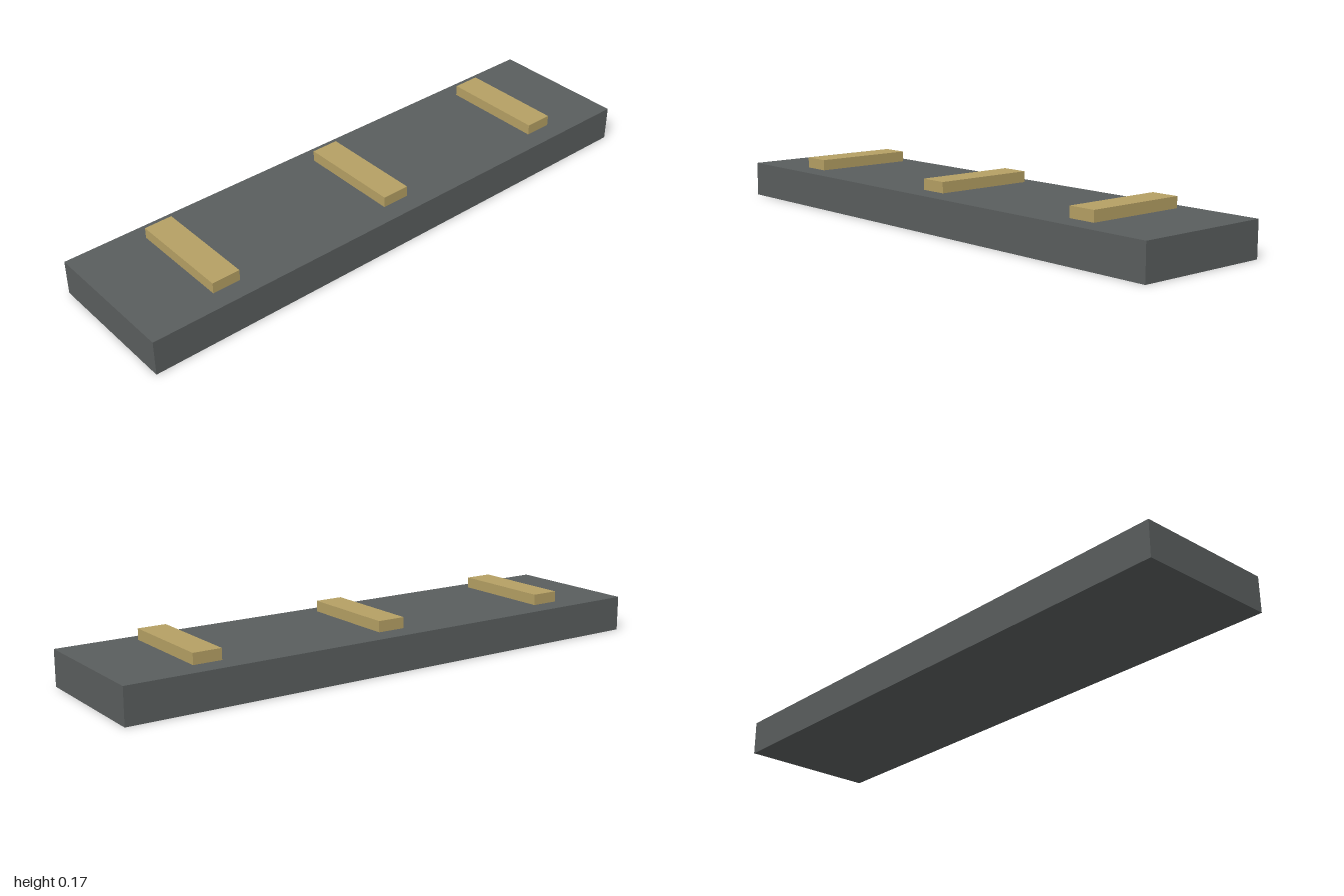
import * as THREE from 'three';

export function createModel() {
  const model = new THREE.Group();
  const slabGrey = new THREE.MeshStandardMaterial({ color: 0x5a5e5e });
  slabGrey.name = 'slabGrey';
  const stripTan = new THREE.MeshStandardMaterial({ color: 0xb5a064 });
  stripTan.name = 'stripTan';

  // Adds a box standing on the height `bottom`
  function addBox(name, [w, h, d], x, bottom, material) {
    const mesh = new THREE.Mesh(new THREE.BoxGeometry(w, h, d), material);
    mesh.name = name;
    mesh.position.set(x, bottom + h / 2, 0);
    model.add(mesh);
  }

  // Long base slab
  addBox('slab', [2, 0.124, 0.5], 0, 0, slabGrey);

  // Three cross strips, held just above the slab
  ['rightStrip', 'middleStrip', 'leftStrip'].forEach((name, i) => {
    addBox(name, [0.1, 0.038, 0.37], (i - 1) * 0.69, 0.1285, stripTan);
  });

  return model;
}
